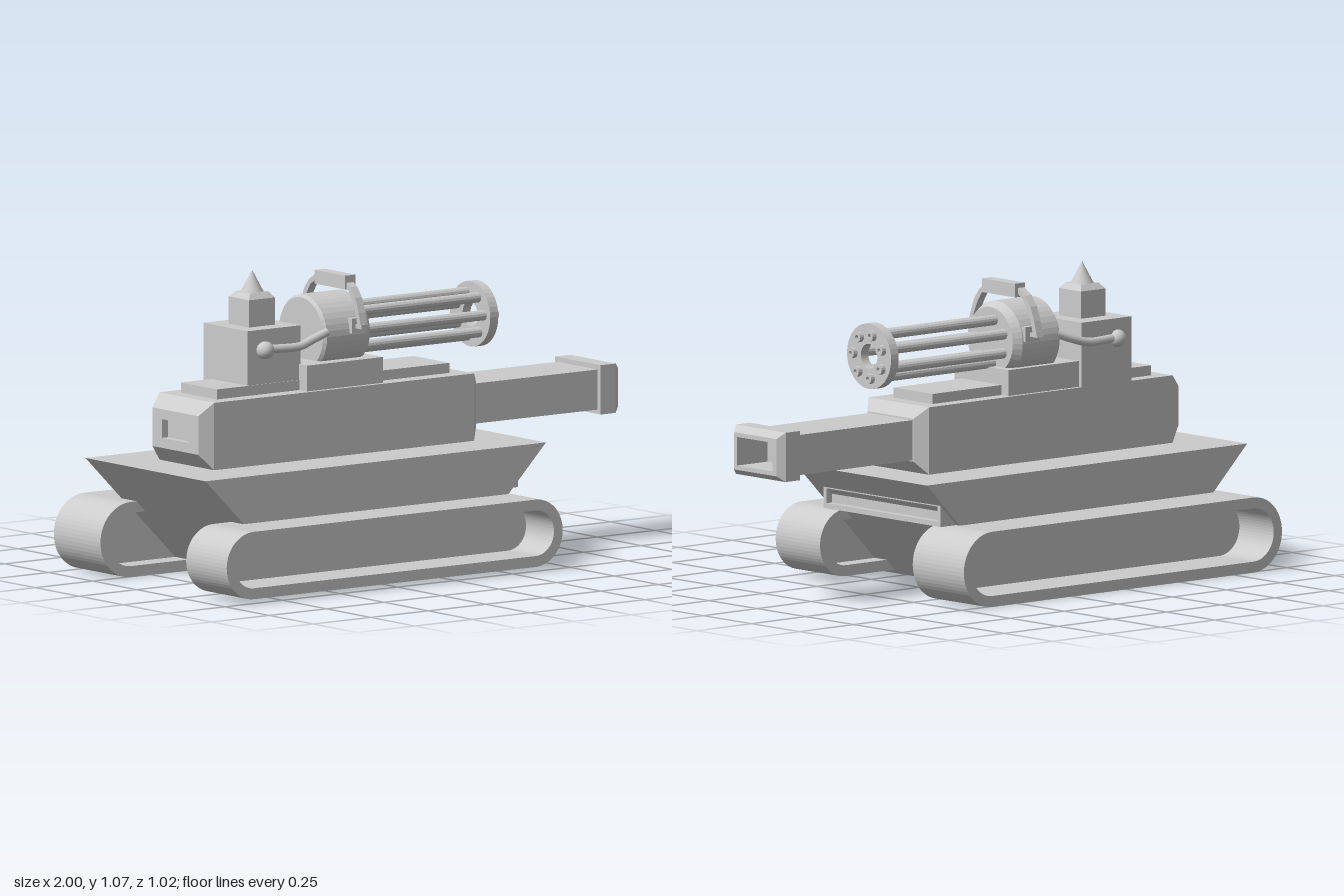
import * as THREE from 'three';

const grey = new THREE.MeshStandardMaterial({ color: 0xcccccc, side: THREE.DoubleSide });
const flat = new THREE.MeshStandardMaterial({ color: 0xcccccc, flatShading: true, side: THREE.DoubleSide });

function add(parent, name, geometry, material = grey) {
  const mesh = new THREE.Mesh(geometry, material);
  mesh.name = name;
  parent.add(mesh);
  return mesh;
}

// Box from its limits on each axis
function box(parent, name, x0, x1, y0, y1, z0, z1) {
  const mesh = add(parent, name, new THREE.BoxGeometry(x1 - x0, y1 - y0, z1 - z0));
  mesh.position.set((x0 + x1) / 2, (y0 + y1) / 2, (z0 + z1) / 2);
  return mesh;
}

// Rectangular sections [x, y0, y1, z0, z1] joined along x and capped at both ends
function loft(parent, name, sections) {
  const loops = sections.map(([x, y0, y1, z0, z1]) => [[x, y0, z1], [x, y0, z0], [x, y1, z0], [x, y1, z1]]);
  const pos = [];
  const quad = (a, b, c, d) => pos.push(...a, ...b, ...c, ...a, ...c, ...d);
  for (let s = 0; s + 1 < loops.length; s++) {
    for (let i = 0; i < 4; i++) {
      const j = (i + 1) % 4;
      quad(loops[s][i], loops[s][j], loops[s + 1][j], loops[s + 1][i]);
    }
  }
  quad(...[...loops[0]].reverse());
  quad(...loops[loops.length - 1]);
  const g = new THREE.BufferGeometry();
  g.setAttribute('position', new THREE.Float32BufferAttribute(pos, 3));
  g.computeVertexNormals();
  return add(parent, name, g, flat);
}

// Outline with rounded ends
function stadium(Type, x0, x1, y0, y1) {
  const r = (y1 - y0) / 2, cy = (y0 + y1) / 2;
  const s = new Type();
  s.moveTo(x0 + r, y0);
  s.lineTo(x1 - r, y0);
  s.absarc(x1 - r, cy, r, -Math.PI / 2, Math.PI / 2, false);
  s.lineTo(x0 + r, y1);
  s.absarc(x0 + r, cy, r, Math.PI / 2, Math.PI * 1.5, false);
  return s;
}

// Hollow track belt with a thin web closing its inner side
function track(parent, name, x0, x1, y0, y1, z0, z1, webZ) {
  const group = new THREE.Group();
  group.name = name;
  parent.add(group);
  const t = 0.038;
  const belt = stadium(THREE.Shape, x0, x1, y0, y1);
  belt.holes.push(stadium(THREE.Path, x0 + t, x1 - t, y0 + t, y1 - t));
  const extrude = (shape, depth) => new THREE.ExtrudeGeometry(shape, { depth, bevelEnabled: false, curveSegments: 14 });
  add(group, 'trackBelt', extrude(belt, z1 - z0)).position.z = z0;
  const web = stadium(THREE.Shape, x0 + t, x1 - t, y0 + t, y1 - t);
  add(group, 'trackWeb', extrude(web, 0.01)).position.z = webZ;
}

// Turned part around the x axis from [x, radius] points
function turned(parent, name, points, segments = 32) {
  const pts = points.map(([x, r]) => new THREE.Vector2(r, x));
  const mesh = add(parent, name, new THREE.LatheGeometry(pts, segments), flat);
  mesh.rotation.z = -Math.PI / 2;
  return mesh;
}

export function createModel() {
  const model = new THREE.Group();
  model.name = 'tank';

  // Wedge hull, flat deck on top and narrow belly below
  const hullShape = new THREE.Shape([[-0.55, 0.005], [0.1, 0.005], [0.51, 0.42], [-0.97, 0.42]]
    .map(([x, y]) => new THREE.Vector2(x, y)));
  add(model, 'hull', new THREE.ExtrudeGeometry(hullShape, { depth: 0.68, bevelEnabled: false })).position.z = -0.33;
  loft(model, 'visionSlot', [
    [0.28, 0.265, 0.345, -0.31, 0.295], [0.43, 0.265, 0.345, -0.31, 0.295],
    [0.43, 0.283, 0.335, -0.295, 0.28], [0.405, 0.283, 0.335, -0.295, 0.28]]);

  // Tracks
  track(model, 'leftTrack', -1, 0.46, 0.02, 0.255, 0.28, 0.51, 0.342);
  track(model, 'rightTrack', -0.97, 0.5, 0.003, 0.265, -0.51, -0.245, -0.332);

  // Turret with tapered ends and a recess in the rear
  loft(model, 'turret', [
    [-0.815, 0.51, 0.575, -0.065, 0.085], [-0.84, 0.51, 0.575, -0.065, 0.085],
    [-0.84, 0.475, 0.61, -0.12, 0.14], [-0.79, 0.42, 0.655, -0.145, 0.165],
    [0.335, 0.42, 0.655, -0.145, 0.17], [0.375, 0.465, 0.615, -0.11, 0.13]]);

  // Square main barrel with a flared, open muzzle
  loft(model, 'mainBarrel', [
    [0.36, 0.47, 0.61, -0.105, 0.12], [0.91, 0.47, 0.61, -0.105, 0.12],
    [0.91, 0.455, 0.627, -0.12, 0.138], [0.975, 0.455, 0.627, -0.12, 0.138],
    [1, 0.475, 0.605, -0.1, 0.12], [1, 0.49, 0.59, -0.08, 0.105],
    [0.86, 0.49, 0.59, -0.08, 0.105]]);

  // Turret roof blocks
  box(model, 'roofPlate', -0.735, 0.275, 0.65, 0.69, -0.095, 0.108);
  box(model, 'gunBase', -0.375, -0.045, 0.65, 0.745, -0.13, 0.15);

  // Gunner: boxy body, chamfered head and pointed cap
  const gunner = new THREE.Group();
  gunner.name = 'gunner';
  model.add(gunner);
  box(gunner, 'body', -0.6, -0.37, 0.655, 0.88, -0.145, 0.105);
  box(gunner, 'head', -0.543, -0.43, 0.87, 0.975, -0.075, 0.04);
  const crown = add(gunner, 'crown', new THREE.CylinderGeometry(0.057, 0.08, 0.02, 4, 1, false, Math.PI / 4), flat);
  crown.position.set(-0.486, 0.985, -0.017);
  const cap = add(gunner, 'cap', new THREE.ConeGeometry(0.04, 0.076, 20));
  cap.position.set(-0.486, 1.032, -0.017);

  // Shoulders and bent arms reaching to the gun
  for (const [side, z] of [[1, 0.122], [-1, -0.145]]) {
    const shoulder = add(gunner, 'shoulder', new THREE.SphereGeometry(0.031, 20, 14));
    shoulder.position.set(-0.535, 0.81, z);
    const path = new THREE.CatmullRomCurve3([
      new THREE.Vector3(-0.52, 0.812, z), new THREE.Vector3(-0.39, 0.812, z + side * 0.008),
      new THREE.Vector3(-0.34, 0.825, z), new THREE.Vector3(-0.27, 0.85, side * 0.125)]);
    add(gunner, 'arm', new THREE.TubeGeometry(path, 20, 0.015, 10));
  }

  // Rotary gun
  const gun = new THREE.Group();
  gun.name = 'rotaryGun';
  gun.position.set(0, 0.832, -0.002);
  model.add(gun);
  turned(gun, 'drum', [[-0.285, 0], [-0.285, 0.125], [-0.275, 0.135], [-0.105, 0.135], [-0.075, 0.117], [-0.075, 0]], 40);
  turned(gun, 'frontDisc', [[0.45, 0.043], [0.45, 0.114], [0.485, 0.114], [0.485, 0.043], [0.45, 0.043]], 40);
  for (let i = 0; i < 7; i++) {
    const a = 0.06 + (i * Math.PI * 2) / 7;
    const barrel = turned(gun, 'gunBarrel',
      [[-0.08, 0], [-0.08, 0.018], [0.503, 0.018], [0.503, 0.008], [0.47, 0.008], [0.47, 0]], 14);
    barrel.position.set(0, Math.sin(a) * 0.077, Math.cos(a) * 0.077);
  }

  // Carrying handle arched over the drum
  const handle = new THREE.Group();
  handle.name = 'carryHandle';
  model.add(handle);
  box(handle, 'grip', -0.168, -0.123, 0.985, 1.033, -0.077, 0.095);
  const outer = [[0.08, 1.018], [0.118, 0.995], [0.145, 0.96], [0.165, 0.91], [0.18, 0.855]];
  const inner = [[0.16, 0.855], [0.147, 0.91], [0.128, 0.95], [0.108, 0.98], [0.08, 0.998]];
  const arch = new THREE.Shape([...outer, ...inner].map(([z, y]) => new THREE.Vector2(z, y)));
  for (const side of [1, -1]) {
    const strut = add(handle, 'strut', new THREE.ExtrudeGeometry(arch, { depth: 0.03, bevelEnabled: false }));
    strut.rotation.y = -side * Math.PI / 2;
    strut.position.set(side > 0 ? -0.131 : -0.161, 0, -0.002);
    const bracket = box(handle, 'bracket', -0.177, -0.11, 0.838, 0.89, 0.12, 0.145);
    const foot = box(handle, 'foot', -0.161, -0.131, 0.855, 0.87, 0.135, 0.178);
    bracket.position.z *= side;
    foot.position.z *= side;
  }
  return model;
}
